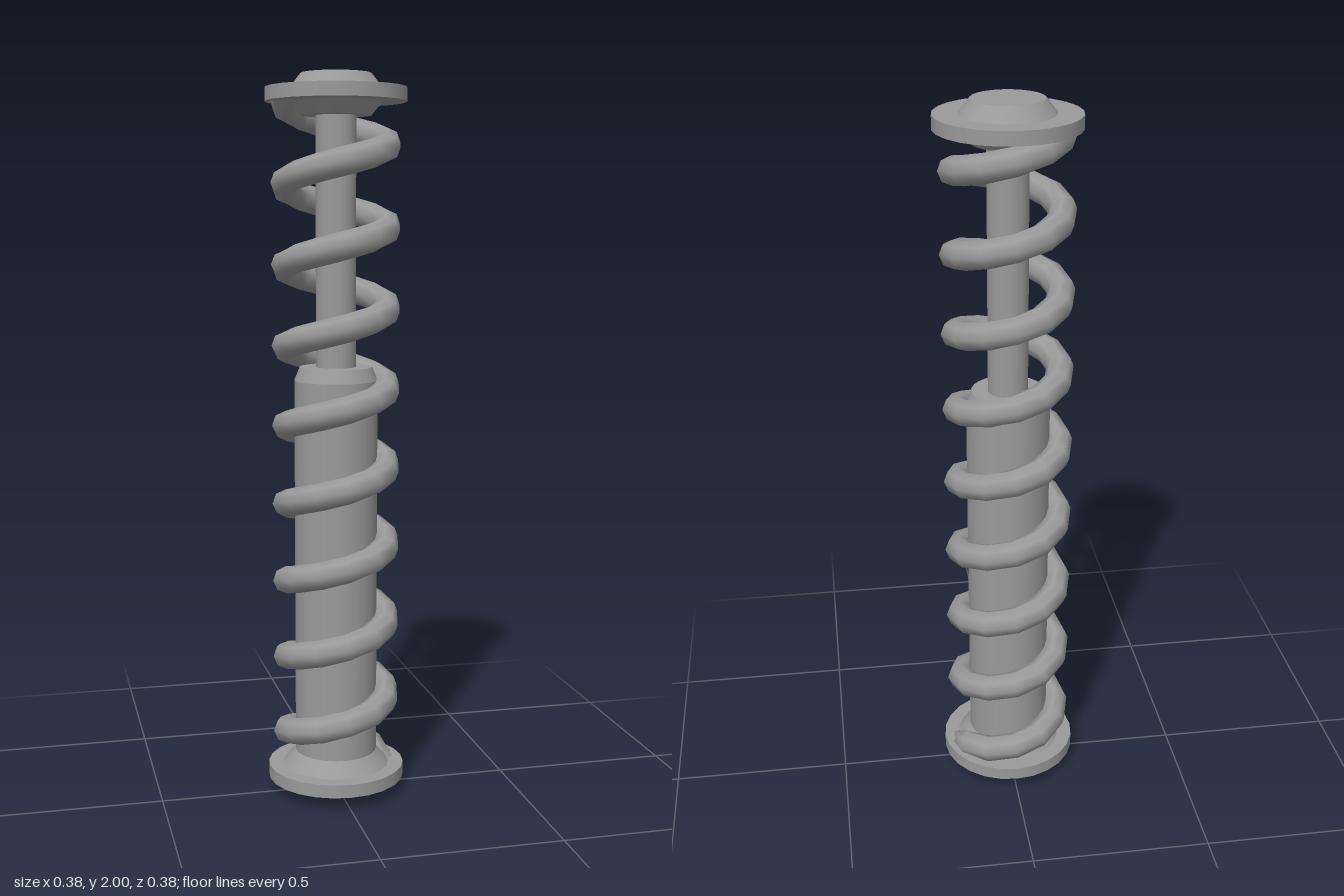
import * as THREE from 'three';
import { ParametricGeometry } from 'three/addons/geometries/ParametricGeometry.js';

export function createModel() {
  const model = new THREE.Group();
  model.name = 'coilSpringDamper';
  const material = new THREE.MeshStandardMaterial({ color: 0x9a9a9a });

  function add(name, geometry) {
    const mesh = new THREE.Mesh(geometry, material);
    mesh.name = name;
    model.add(mesh);
    return mesh;
  }

  // Round section standing between two heights
  function round(name, bottomRadius, topRadius, y0, y1) {
    const geometry = new THREE.CylinderGeometry(topRadius, bottomRadius, y1 - y0, 24);
    add(name, geometry).position.y = (y0 + y1) / 2;
  }

  // Lower mount
  round('lowerEndCap', 0.096, 0.125, 0, 0.04);
  round('lowerSpringSeat', 0.192, 0.192, 0.04, 0.077);
  round('lowerCollar', 0.15, 0.115, 0.077, 0.117);

  // Damper body and piston rod
  round('damperBody', 0.115, 0.115, 0.1, 1.176);
  round('bodyShoulder', 0.115, 0.1, 1.176, 1.213);
  round('pistonRod', 0.055, 0.055, 1.2, 1.9);

  // Upper mount
  round('upperCollar', 0.096, 0.125, 1.89, 1.926);
  round('upperSpringSeat', 0.192, 0.192, 1.926, 1.963);
  round('upperEndCap', 0.125, 0.096, 1.963, 2);

  // Coil spring: a round wire swept along a helix,
  // its ends turned upright into the two seats
  const turns = 8.5, startY = 0.07, pitch = 0.219;
  const coilRadius = 0.142, wireRadius = 0.038;
  const steps = turns * 12;
  const rise = pitch / (2 * Math.PI);
  const slope = Math.atan2(rise, coilRadius);

  function wirePoint(u, v, target) {
    const a = u * turns * 2 * Math.PI, s = v * 2 * Math.PI;
    const fromEnd = Math.min(u, 1 - u) * steps;
    const tilt = fromEnd < 1 ? THREE.MathUtils.lerp(Math.PI / 2, slope, fromEnd) : slope;
    const r = coilRadius + wireRadius * Math.cos(s);
    const up = wireRadius * Math.sin(s) * Math.cos(tilt);
    const back = wireRadius * Math.sin(s) * Math.sin(tilt);
    return target.set(
      r * Math.cos(a) + back * Math.sin(a),
      startY + rise * a + up,
      -r * Math.sin(a) + back * Math.cos(a)
    );
  }
  add('coilSpring', new ParametricGeometry(wirePoint, steps, 8));

  return model;
}
